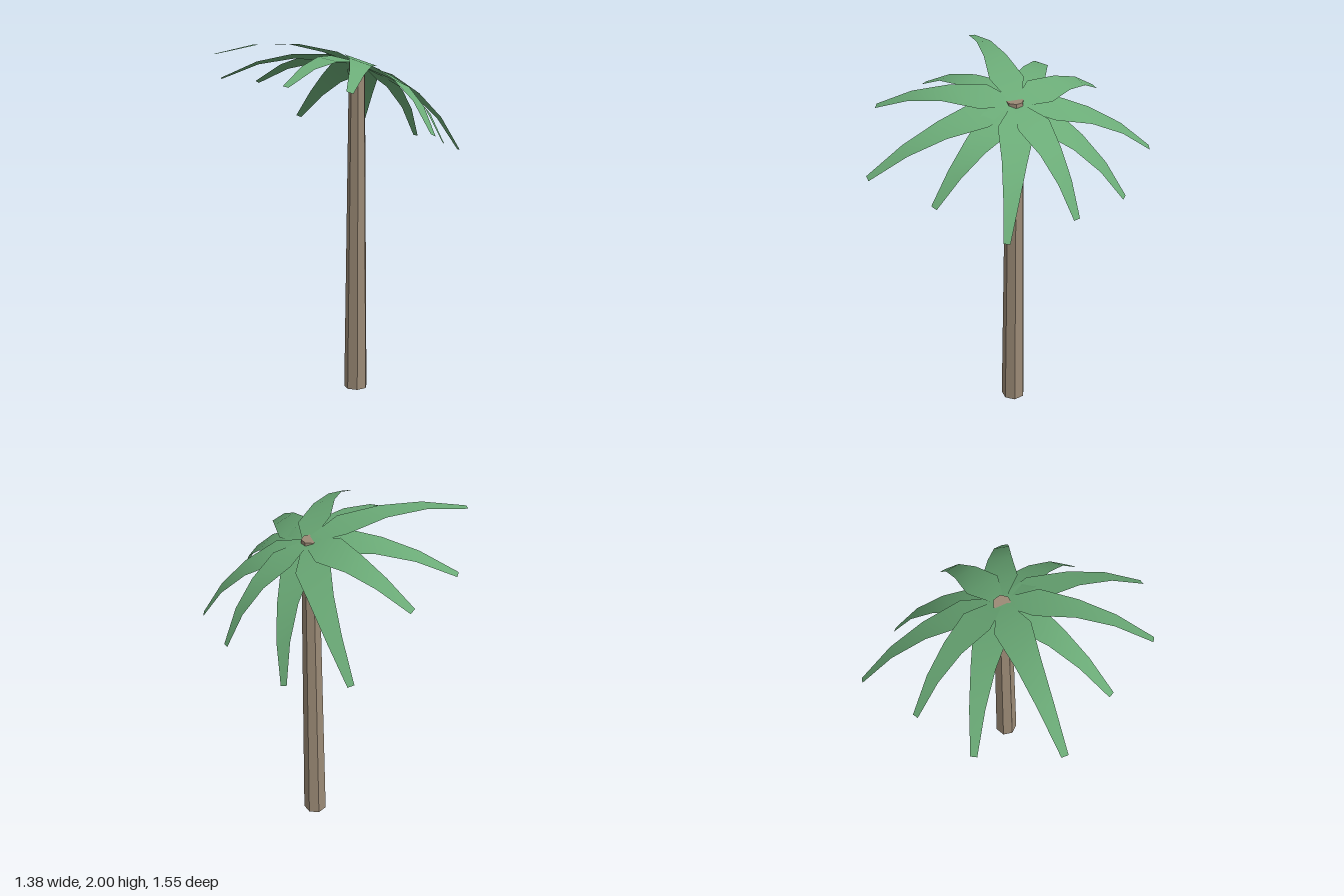
import * as THREE from 'three';

const trunkMat = new THREE.MeshStandardMaterial({ color: 0x9b8a76, flatShading: true });
trunkMat.name = 'bark brown';
const leafMat = new THREE.MeshStandardMaterial({ color: 0x6bab77, side: THREE.DoubleSide });
leafMat.name = 'frond green';

// The crown leans towards +x
const crown = new THREE.Vector3(0.17, 1.89, -0.01);
const axis = new THREE.Vector3(0.39, 0.92, 0).normalize();

// Frond tips, clockwise from the raised one
const tips = [
  [-0.69, 1.955, -0.078], [-0.475, 1.805, -0.442], [-0.16, 1.765, -0.61],
  [0.215, 1.53, -0.77], [0.465, 1.4, -0.5], [0.657, 1.445, -0.137],
  [0.68, 1.4, 0.245], [0.362, 1.487, 0.508], [0.092, 1.57, 0.77],
  [-0.295, 1.785, 0.607], [-0.47, 1.8, 0.285],
];

// Stations along a frond: [fraction of length, width]
const stations = [[0, 0.06], [0.2, 0.185], [0.46, 0.125], [0.72, 0.08], [1, 0.035]];

// An arched, flat, tapering ribbon from the crown to its tip
function frondGeometry(tip) {
  const dir = new THREE.Vector3(...tip).sub(crown).normalize();
  const across = axis.clone().cross(dir).normalize();
  const up = dir.clone().cross(across);
  const start = crown.clone().addScaledVector(dir, 0.02);
  const end = new THREE.Vector3(...tip);
  const points = [], index = [];
  stations.forEach(([s, width], i) => {
    const p = start.clone().lerp(end, s).addScaledVector(up, 0.32 * s * (1 - s));
    for (const side of [-0.5, 0.5]) {
      points.push(...p.clone().addScaledVector(across, side * width).toArray());
    }
    if (i > 0) {
      const a = 2 * i - 2;
      index.push(a, a + 2, a + 1, a + 1, a + 2, a + 3);
    }
  });
  const geo = new THREE.BufferGeometry();
  geo.setAttribute('position', new THREE.Float32BufferAttribute(points, 3));
  geo.setIndex(index);
  geo.computeVertexNormals();
  return geo;
}

export function createModel() {
  const model = new THREE.Group();
  model.name = 'palmTree';

  // Seven-sided tapering trunk
  const height = 1.895;
  const trunk = new THREE.Mesh(
    new THREE.CylinderGeometry(0.046, 0.068, height, 7, 1, false, Math.PI), trunkMat);
  trunk.name = 'trunk';
  trunk.position.set(0.15, height / 2, -0.007);
  model.add(trunk);

  // Crown of fronds
  const fronds = new THREE.Group();
  fronds.name = 'fronds';
  tips.forEach((tip, i) => {
    const frond = new THREE.Mesh(frondGeometry(tip), leafMat);
    frond.name = `frond${i + 1}`;
    fronds.add(frond);
  });
  model.add(fronds);
  return model;
}
